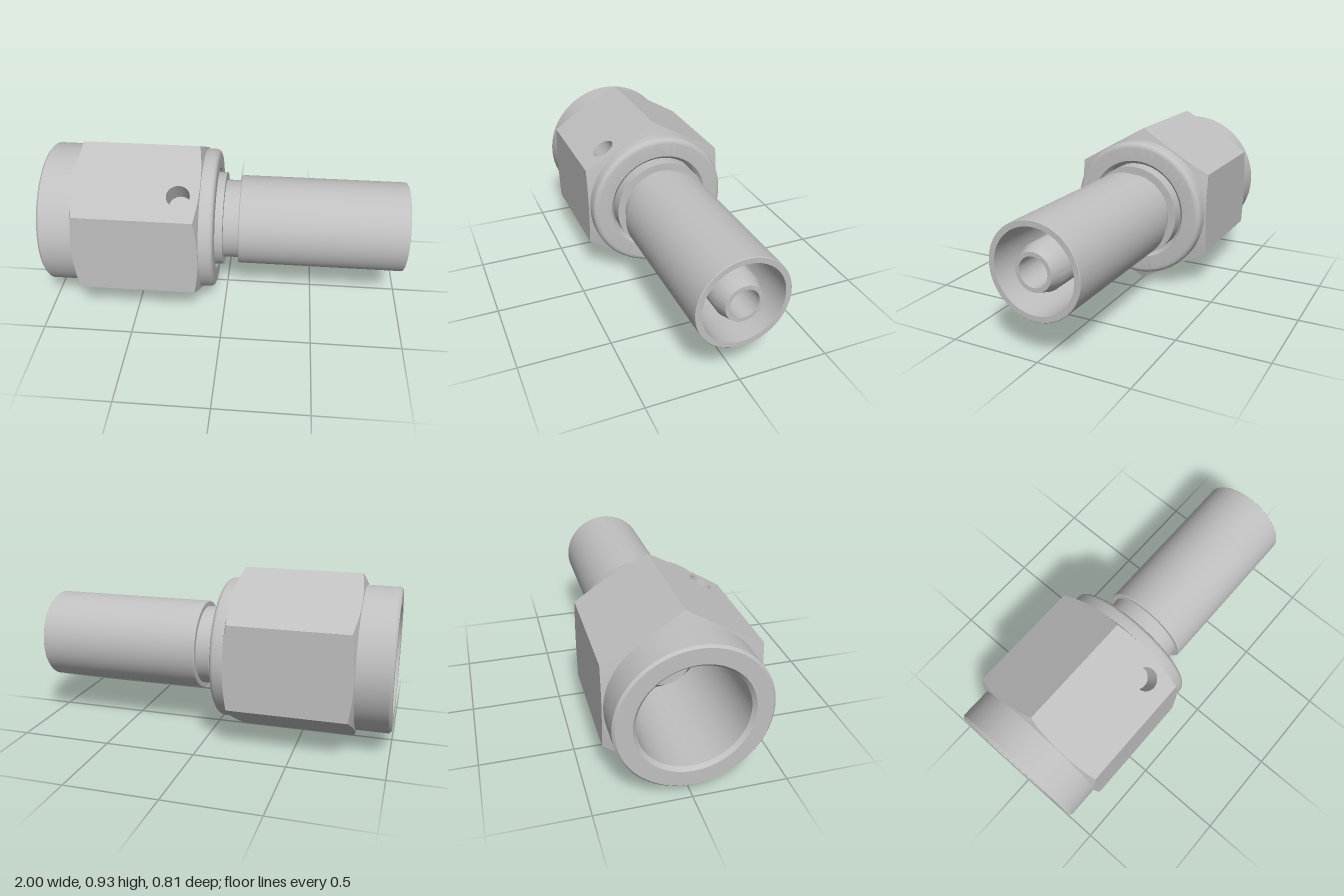
import * as THREE from 'three';
import { mergeGeometries, toCreasedNormals } from 'three/addons/utils/BufferGeometryUtils.js';

const AXIS_Y = 0.465;          // height of the shared axis
const CORNER = 0.465;          // hex corner radius
const FLAT = CORNER * Math.cos(Math.PI / 6);
const COLLAR = 0.395;

// Turned part about the x axis; profile is [x, radius], outside towards +x
function turned(profile) {
  const g = new THREE.LatheGeometry(profile.map(([x, r]) => new THREE.Vector2(r, x)), 96);
  g.rotateZ(-Math.PI / 2);
  return toCreasedNormals(g, 0.4);
}

// Chamfered ends of the hexagon follow a shallow cone
const endX = (r, side) => side > 0 ? -0.15 + (CORNER - r) * 0.35 : -0.79 - (CORNER - r) * 0.35;

// One flat of the hexagon, facing +z, optionally drilled
function hexFlat(hole) {
  const n = 16, pts = [];
  const across = i => -CORNER / 2 + CORNER * i / n;
  for (let i = 0; i <= n; i++) pts.push(new THREE.Vector2(endX(Math.hypot(FLAT, across(i)), 1), across(i)));
  for (let i = n; i >= 0; i--) pts.push(new THREE.Vector2(endX(Math.hypot(FLAT, across(i)), -1), across(i)));
  const shape = new THREE.Shape(pts);
  if (hole) shape.holes.push(new THREE.Path().absarc(hole.x, hole.s, hole.r, 0, Math.PI * 2, true));
  const face = new THREE.ShapeGeometry(shape, 24).toNonIndexed();
  face.translate(0, 0, FLAT);
  face.deleteAttribute('uv');

  // conical end faces from the flat's edge in to the collar
  const pos = [];
  for (const side of [1, -1]) {
    const outer = s => [endX(Math.hypot(FLAT, s), side), s, FLAT];
    const inner = s => {
      const k = (COLLAR - 0.005) / Math.hypot(FLAT, s);
      return [endX(COLLAR, side), s * k, FLAT * k];
    };
    for (let i = 0; i < n; i++) {
      const a = outer(across(i)), b = inner(across(i)), c = inner(across(i + 1)), d = outer(across(i + 1));
      const tris = side > 0 ? [a, b, c, a, c, d] : [a, c, b, a, d, c];
      tris.forEach(p => pos.push(...p));
    }
  }
  const ends = new THREE.BufferGeometry();
  ends.setAttribute('position', new THREE.Float32BufferAttribute(pos, 3));
  ends.computeVertexNormals();
  return mergeGeometries([face, ends]);
}

export function createModel() {
  const model = new THREE.Group();
  const steel = new THREE.MeshStandardMaterial({ color: 0xc0c0c0 });
  steel.name = 'steel';
  const add = (name, geometry, parent) => {
    const mesh = new THREE.Mesh(geometry, steel);
    mesh.name = name;
    parent.add(mesh);
    return mesh;
  };

  const nut = new THREE.Group();
  nut.name = 'swivelNut';
  nut.position.y = AXIS_Y;
  model.add(nut);

  // Rounded collar, stepped bore and plain end ring of the nut
  const profile = [[-0.14, COLLAR]];
  for (let i = 0; i <= 8; i++) {
    const a = i / 8 * Math.PI / 2;
    profile.push([-0.08 + 0.03 * Math.sin(a), COLLAR - 0.03 + 0.03 * Math.cos(a)]);
  }
  profile.push([-0.05, 0.29], [-0.07, 0.272], [-0.3, 0.272], [-0.3, 0.282], [-0.98, 0.282],
    [-1, 0.3], [-1, COLLAR - 0.012], [-0.988, COLLAR], [-0.8, COLLAR]);
  add('nutBody', turned(profile), nut);

  // Six wrench flats, the upper front one drilled
  const hole = { x: -0.24, s: -0.079, r: 0.063, depth: 0.125 };
  for (let k = 0; k < 6; k++) {
    add('hexFlat', hexFlat(k === 5 ? hole : null), nut).rotation.x = k * Math.PI / 3;
  }
  const wall = new THREE.LatheGeometry([
    new THREE.Vector2(hole.r, 0), new THREE.Vector2(hole.r, -hole.depth), new THREE.Vector2(0, -hole.depth),
  ], 32);
  wall.rotateX(Math.PI / 2);
  wall.translate(hole.x, hole.s, FLAT);
  add('wireHole', toCreasedNormals(wall, 0.5), nut).rotation.x = -Math.PI / 3;

  // Stem: seat cone, flange, neck, sleeve, deep socket and hollow nipple
  const stem = add('stemAndSleeve', turned([
    [-0.48, 0.078], [-0.48, 0.15], [-0.33, 0.265], [-0.01, 0.265], [-0.01, 0.222], [0.075, 0.222],
    [0.075, 0.248], [0.08, 0.252], [0.997, 0.252], [1, 0.249],
    [1, 0.22], [0.26, 0.22], [0.22, 0.19], [0.16, 0.19],
    [0.16, 0.123], [0.93, 0.123], [1, 0.1], [1, 0.078], [-0.48, 0.078],
  ]), model);
  stem.position.y = AXIS_Y;

  return model;
}
